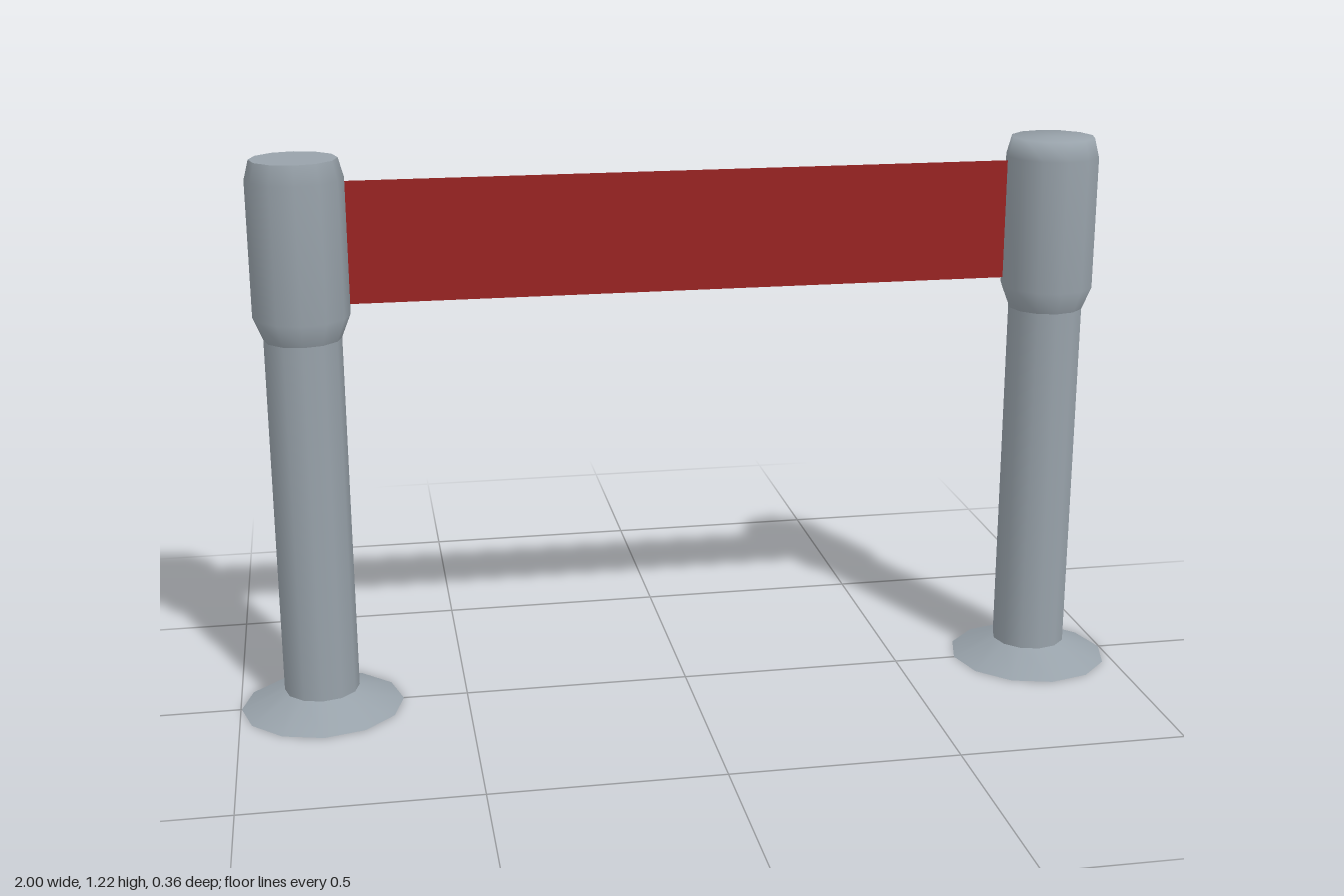
import * as THREE from 'three';

const metal = new THREE.MeshStandardMaterial({ color: 0x98a2aa, side: THREE.DoubleSide });
metal.name = 'greyMetal';
const fabric = new THREE.MeshStandardMaterial({ color: 0x992423, side: THREE.DoubleSide });
fabric.name = 'redFabric';

const SIDES = 12;
const POST_X = 0.82;

// Smooth turned part from [radius, height] pairs, bottom to top
function turned(name, profile) {
  const points = profile.map(([r, y]) => new THREE.Vector2(r, y));
  const mesh = new THREE.Mesh(new THREE.LatheGeometry(points, SIDES), metal);
  mesh.name = name;
  return mesh;
}

function createPost(name, x, softTop) {
  const post = new THREE.Group();
  post.name = name;
  post.position.x = x;

  // Hollow flared foot and open tube
  post.add(turned('base', [[0.178, 0], [0.082, 0.042]]));
  post.add(turned('pole', [[0.082, 0.042], [0.082, 0.84]]));

  // Wider head that holds the belt; one post has a softly shaded top
  const head = [[0.082, 0.84], [0.102, 0.89], [0.102, 1.18], [0.091, 1.222]];
  const lid = [[0.091, 1.222], [0, 1.222]];
  if (softTop) {
    post.add(turned('head', [...head, [0, 1.222]]));
  } else {
    post.add(turned('head', head), turned('lid', lid));
  }
  return post;
}

export function createModel() {
  const model = new THREE.Group();
  model.name = 'beltBarrier';
  model.add(createPost('leftPost', POST_X, true));
  model.add(createPost('rightPost', -POST_X, false));

  // Thin belt stretched between the two heads
  const belt = new THREE.Mesh(new THREE.PlaneGeometry(1.44, 0.262), fabric);
  belt.name = 'belt';
  belt.position.y = 1.041;
  model.add(belt);
  return model;
}
